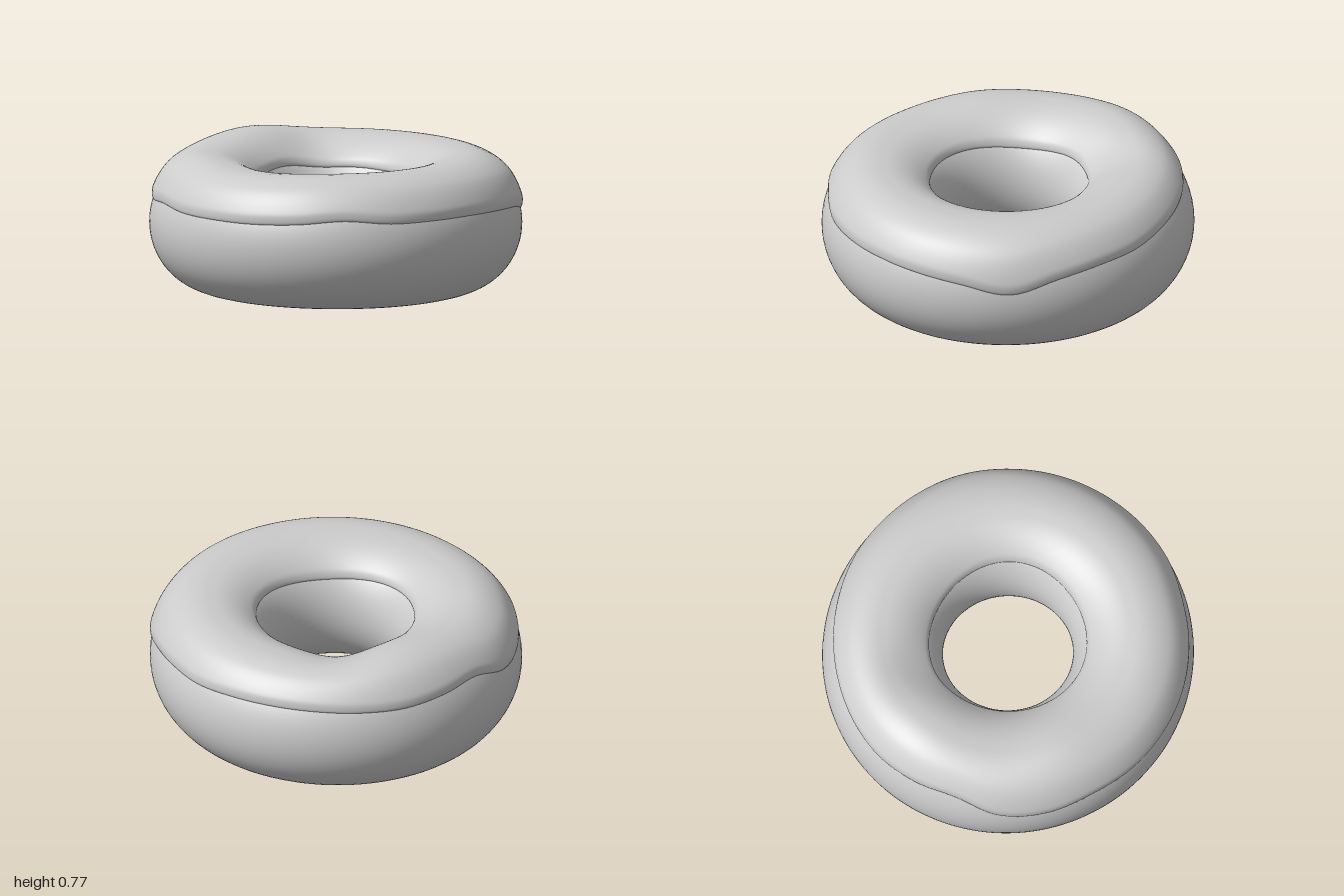
import * as THREE from 'three';

const RING = 0.675, HALF_W = 0.325, HALF_H = 0.352, SEG = 144;

// Soft hills and dents in the upper surface: [x, z, height, spread]
const LUMPS = [
  [-0.72, -0.12, 0.04, 0.24],
  [-0.4, -0.3, -0.045, 0.13],
  [0, 0.7, -0.018, 0.25],
  [-0.4, 0.58, 0.012, 0.15],
];

// Height of the icing's outer edge, every 15 degrees from +x towards +z
const EDGE = [0.5, 0.5, 0.5, 0.52, 0.5, 0.49, 0.49, 0.49, 0.5, 0.48, 0.49, 0.56,
  0.55, 0.54, 0.55, 0.56, 0.56, 0.55, 0.53, 0.52, 0.49, 0.43, 0.47, 0.49];
const edgeCurve = new THREE.CatmullRomCurve3(
  EDGE.map((y, i) => new THREE.Vector3(i, y, 0)).concat(new THREE.Vector3(EDGE.length, EDGE[0], 0)));

// Point on the ring: theta goes round the hole, phi round the section, offset is along the normal
function ringPoint(theta, phi, offset) {
  const r = RING + (HALF_W + offset) * Math.cos(phi);
  const x = r * Math.cos(theta), z = r * Math.sin(theta) * 0.987 - 0.003;
  let y = HALF_H + (HALF_H + offset) * Math.sin(phi);
  const up = Math.max(0, Math.sin(phi));
  for (const [lx, lz, h, s] of LUMPS) {
    y += up * h * Math.exp(-((x - lx) ** 2 + (z - lz) ** 2) / (2 * s * s));
  }
  return [x, y, z];
}

// Closed surface from a closed section swept round the hole
function sweep(name, rows, section) {
  const pos = [], index = [];
  for (let i = 0; i < SEG; i++) {
    const theta = (i / SEG) * Math.PI * 2;
    for (let j = 0; j < rows; j++) pos.push(...section(theta, j));
    const n = (i + 1) % SEG;
    for (let j = 0; j < rows; j++) {
      const k = (j + 1) % rows;
      const a = i * rows + j, b = i * rows + k, c = n * rows + j, d = n * rows + k;
      index.push(a, b, c, b, d, c);
    }
  }
  const geo = new THREE.BufferGeometry();
  geo.setAttribute('position', new THREE.Float32BufferAttribute(pos, 3));
  geo.setIndex(index);
  geo.computeVertexNormals();
  const mesh = new THREE.Mesh(geo, new THREE.MeshStandardMaterial({ color: 0xcccccc }));
  mesh.name = name;
  return mesh;
}

export function createModel() {
  const group = new THREE.Group();
  group.name = 'doughnut';

  // Dough ring
  group.add(sweep('dough', 64, (theta, j) => ringPoint(theta, (j / 64) * Math.PI * 2, 0)));

  // Icing: upper skin from outer edge to inner edge, then back just beneath the dough
  const half = 48;
  group.add(sweep('icing', half * 2, (theta, j) => {
    const top = j < half;
    const t = (top ? j : half * 2 - 1 - j) / (half - 1);
    const u = (1 - Math.cos(t * Math.PI)) / 2;
    const edgeY = edgeCurve.getPoint(theta / (Math.PI * 2)).y;
    const start = Math.asin((edgeY - HALF_H) / HALF_H);
    const end = Math.PI - 0.7 + 0.04 * Math.sin(theta * 3);
    const phi = start + (end - start) * u;
    const lip = Math.sqrt(Math.min(1, Math.min(u, 1 - u) / 0.06));
    const thick = 0.022 + 0.018 * Math.max(0, Math.sin(2 * phi)) * Math.min(1, u * 4);
    return ringPoint(theta, phi, top ? thick * lip : -0.008);
  }));

  return group;
}
